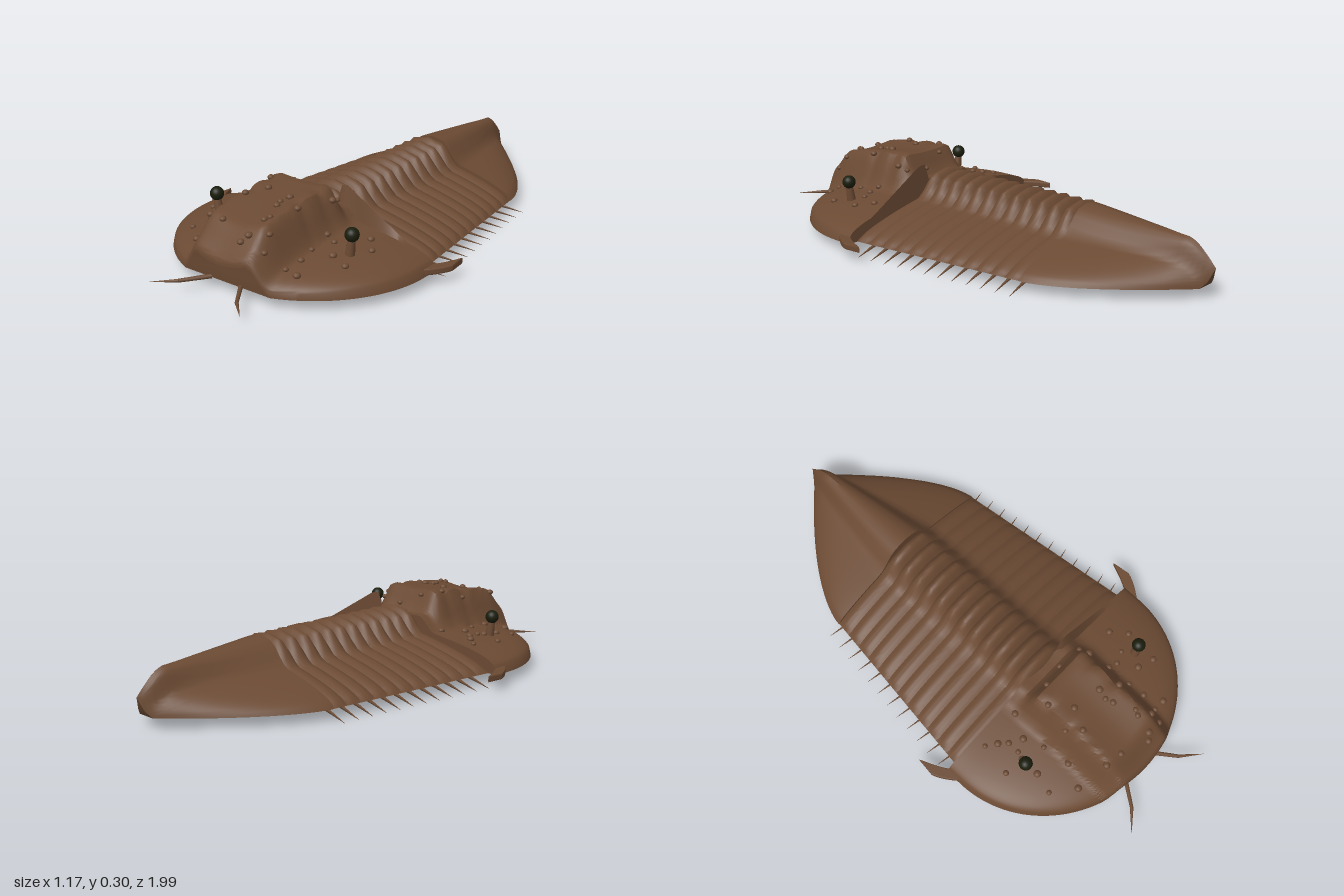
import * as THREE from 'three';
import { toCreasedNormals } from 'three/addons/utils/BufferGeometryUtils.js';

const BASE = 0.042;
const { smoothstep, clamp, lerp } = THREE.MathUtils;
const V = (x, y, z) => new THREE.Vector3(x, y, z);

// Closed flat-bottomed shell: zs run from front to back, height gives the top
function shell(zs, width, height, cols) {
  const rows = [[zs[0], true], ...zs.map(z => [z, false]), [zs[zs.length - 1], true]];
  const pos = [], idx = [], n = cols + 1;
  rows.forEach(([z, flat], i) => {
    for (let j = 0; j <= cols; j++) {
      const u = 2 * j / cols - 1;
      const x = width(z) * lerp(u, Math.sin(u * Math.PI / 2), 0.4);
      pos.push(x, flat ? BASE : Math.max(BASE, height(x, z)), z);
    }
    if (i === 0) return;
    const p = (i - 1) * n, q = i * n;
    for (let j = 0; j < cols; j++) {
      idx.push(p + j, p + j + 1, q + j, p + j + 1, q + j + 1, q + j);
    }
    idx.push(p, q, p + cols, p + cols, q, q + cols); // underside
  });
  const g = new THREE.BufferGeometry();
  g.setAttribute('position', new THREE.Float32BufferAttribute(pos, 3));
  g.setIndex(idx);
  return toCreasedNormals(g, 0.75);
}

// Tapered round limb between two points
function limb(a, b, r0, r1, sides = 8) {
  const d = b.clone().sub(a);
  const g = new THREE.CylinderGeometry(r1, r0, d.length(), sides);
  g.applyQuaternion(new THREE.Quaternion().setFromUnitVectors(V(0, 1, 0), d.normalize()));
  return g.translate((a.x + b.x) / 2, (a.y + b.y) / 2, (a.z + b.z) / 2);
}

// Head: half ellipse outline with a tall central lobe
const HEAD_BACK = 0.31, HEAD_MID = 0.38;
const headWidth = z => 0.53 * Math.sqrt(Math.max(0, 1 - (Math.max(0, z - HEAD_MID) / 0.485) ** 2));
function headHeight(x, z) {
  const ax = Math.abs(x);
  const r = Math.min(1, Math.hypot(x / 0.53, Math.max(0, z - HEAD_MID) / 0.485));
  const cheek = 0.13 * (1 - r) ** 0.35;
  const side = 1 - smoothstep(ax, 0.115, 0.205);
  const back = lerp(0.4, 1, smoothstep(z, 0.35, 0.41));
  let lobe = (0.155 - 0.05 * smoothstep(r, 0.78, 0.97)) * side * back - 0.025 * smoothstep(0.2 - ax, 0, 0.2);
  // shallow furrows on the lobe flanks
  for (const f of [0.46, 0.57]) {
    lobe -= 0.018 * Math.exp(-(((z - f) / 0.02) ** 2)) * Math.exp(-(((ax - 0.14) / 0.04) ** 2));
  }
  let y = BASE + cheek + lobe;
  // raised rear rim on the left flank
  if (z < 0.325 && x > 0.1) y = Math.max(y, lerp(0.275, 0.06, clamp((x - 0.14) / 0.37, 0, 1)) * (x < 0.525 ? 1 : 0));
  return y;
}

// Thorax: twelve overlapping ring segments
const SEGS = 12, T_FRONT = 0.32, T_BACK = -0.44, STEP = (T_FRONT - T_BACK) / SEGS;
const thoraxWidth = z => lerp(0.395, 0.488, (z - T_BACK) / (T_FRONT - T_BACK));
function thoraxHeight(x, z) {
  const t = (T_FRONT - z) / STEP, ax = Math.abs(x);
  const dip = 1 - Math.abs(Math.sin(Math.PI * t));
  const r = Math.min(1, ax / thoraxWidth(z));
  const lobe = 1 - smoothstep(ax, 0.07, 0.15);
  return BASE + 0.13 * (1 - r) ** 0.6 + 0.073 * lobe - dip * (0.01 + 0.028 * lobe);
}

// Tail shield: pointed, with a tapering ridge
const tailS = z => clamp((T_BACK - z) / (1 + T_BACK), 0, 1);
const tailWidth = z => 0.397 * (1 - tailS(z) ** 1.5);
function tailHeight(x, z) {
  const s = tailS(z), ax = Math.abs(x);
  const top = 0.2 - 0.04 * s - 0.085 * clamp((s - 0.8) / 0.2, 0, 1) ** 1.5;
  const r = Math.min(1, ax / Math.max(1e-4, tailWidth(z)));
  const w = lerp(0.15, 0.03, s);
  return BASE + top * (0.65 * (1 - r) ** 0.6 + 0.35 * (1 - smoothstep(ax, w * 0.35, w)));
}

// Tubercle positions on the head, as x, z pairs
const BUMPS = [
  -0.37, 0.36, -0.33, 0.39, -0.2, 0.36, -0.3, 0.42, -0.39, 0.49, -0.3, 0.47, -0.25, 0.45,
  -0.31, 0.5, -0.12, 0.45, -0.06, 0.39, -0.22, 0.53, -0.31, 0.58, -0.2, 0.64, -0.1, 0.61,
  -0.14, 0.56, -0.33, 0.66, -0.24, 0.73, -0.13, 0.76, -0.06, 0.77, 0.04, 0.37, 0.14, 0.38,
  0.15, 0.42, 0.31, 0.4, 0.19, 0.5, 0.23, 0.51, 0.28, 0.49, 0.06, 0.55, 0.13, 0.59, 0.06, 0.62,
  0.05, 0.59, 0.2, 0.6, 0.28, 0.58, 0.35, 0.6, 0.21, 0.67, 0.09, 0.72, 0.1, 0.7, 0.08, 0.79,
  0.06, 0.81, 0.14, 0.75, 0.15, 0.79, 0.2, 0.74, 0.25, 0.74, -0.06, 0.53, 0.36, 0.46
];

export function createModel() {
  const shellMat = new THREE.MeshStandardMaterial({ color: 0x6b4a33 });
  shellMat.name = 'brownShell';
  const eyeMat = new THREE.MeshStandardMaterial({ color: 0x1a1d0c });
  eyeMat.name = 'darkEye';
  const model = new THREE.Group();
  model.name = 'trilobite';
  const add = (name, geo, mat = shellMat) => {
    const m = new THREE.Mesh(geo, mat);
    m.name = name;
    model.add(m);
    return m;
  };

  const headZ = [];
  for (let i = 0; i <= 36; i++) headZ.push(HEAD_MID + 0.485 * Math.sin((1 - i / 36) * Math.PI / 2));
  headZ.push(0.365, 0.35, 0.335, 0.325, HEAD_BACK);
  add('head', shell(headZ, headWidth, headHeight, 60));

  const thoraxZ = [];
  for (let i = 0; i <= SEGS * 8; i++) thoraxZ.push(T_FRONT - STEP * i / 8);
  add('thorax', shell(thoraxZ, thoraxWidth, thoraxHeight, 40));

  const tailZ = [];
  for (let i = 0; i <= 30; i++) tailZ.push(lerp(T_BACK, -1, i / 30));
  add('tail', shell(tailZ, tailWidth, tailHeight, 36));

  // Tubercles
  for (let i = 0; i < BUMPS.length; i += 2) {
    const [x, z] = [BUMPS[i], BUMPS[i + 1]];
    const r = 0.011 + 0.004 * ((i * 7) % 5) / 4;
    const b = add('tubercle', new THREE.SphereGeometry(r, 10, 8));
    b.position.set(x, headHeight(x, z) + 0.003, z);
    b.scale.y = 0.8;
  }

  // Cheek spine outline, in x and -z
  const spine = new THREE.Shape();
  spine.moveTo(0.49, -0.4);
  spine.lineTo(0.53, -0.36);
  spine.quadraticCurveTo(0.57, -0.31, 0.58, -0.275);
  spine.lineTo(0.574, -0.205);
  spine.quadraticCurveTo(0.55, -0.27, 0.52, -0.315);
  spine.lineTo(0.49, -0.32);

  for (const s of [1, -1]) {
    const side = s > 0 ? 'left' : 'right';
    const eye = add(side + 'Eye', new THREE.SphereGeometry(0.027, 20, 14), eyeMat);
    eye.position.set(s * 0.326, 0.207, 0.53);
    add(side + 'EyeStalk', limb(V(s * 0.315, 0.12, 0.53), V(s * 0.326, 0.195, 0.53), 0.019, 0.013, 12));

    const spineGeo = new THREE.ExtrudeGeometry(spine, {
      depth: 0.012, bevelEnabled: true, bevelThickness: 0.006, bevelSize: 0.003, bevelSegments: 2
    });
    spineGeo.rotateX(-Math.PI / 2).translate(0, 0.05, 0);
    if (s < 0) spineGeo.rotateZ(Math.PI).translate(0, 0.112, 0);
    add(side + 'CheekSpine', spineGeo);

    // Two-part feeler
    const knee = V(s * 0.14, 0.045, 0.925);
    add(side + 'Antenna', limb(V(s * 0.07, 0.048, 0.83), knee, 0.009, 0.007));
    add(side + 'AntennaTip', limb(knee, V(s * 0.215, 0.044, 0.99), 0.007, 0.0005));

    // Pointed legs, one per segment
    for (let i = 0; i < SEGS; i++) {
      const z = T_FRONT - STEP * (i + 0.5);
      const w = thoraxWidth(z);
      add(side + 'Leg', limb(V(s * (w - 0.155), 0.034, z + 0.01), V(s * (w + 0.053), 0.002, z - 0.035), 0.012, 0.0005));
    }
  }
  return model;
}
